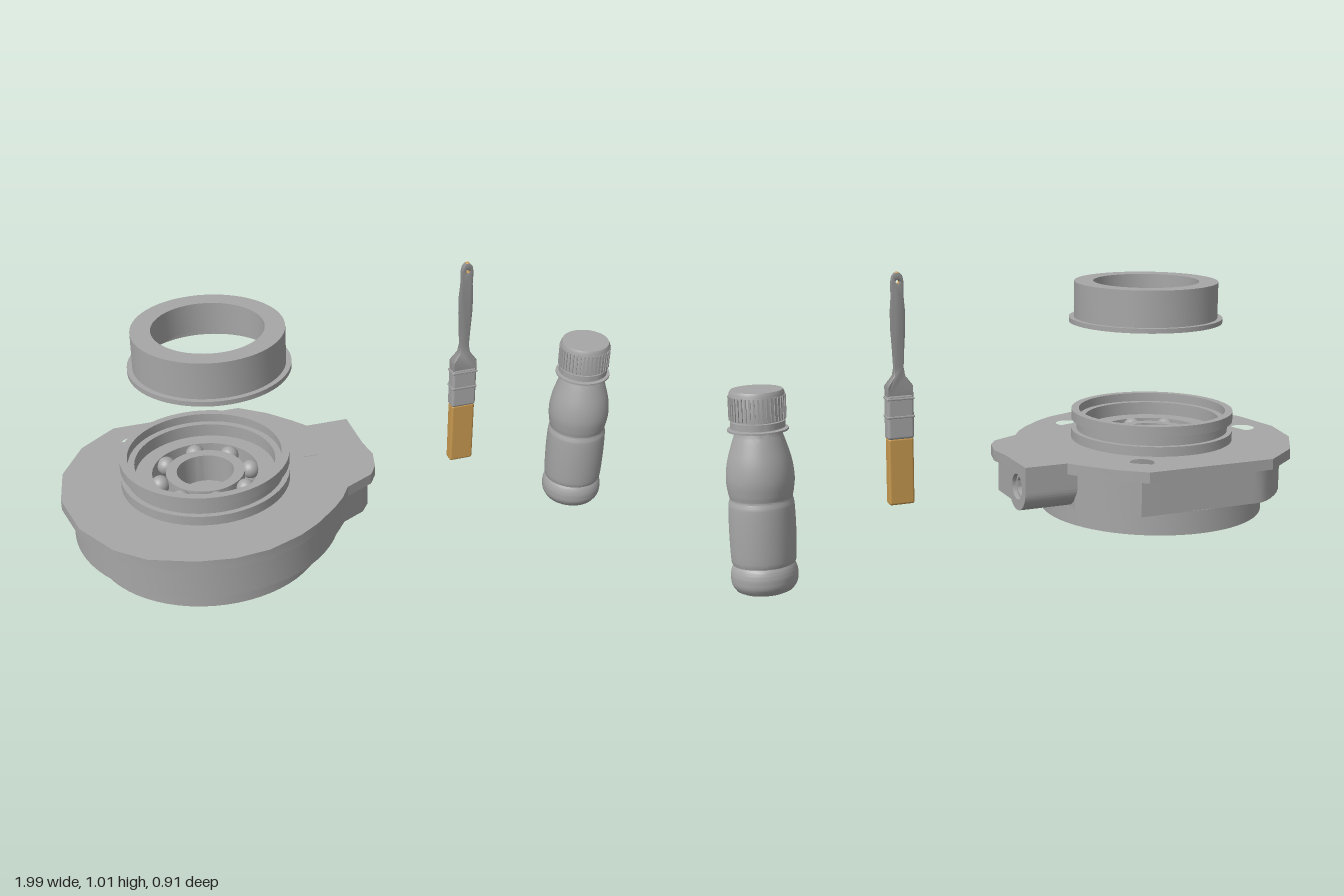
import * as THREE from 'three';
import { toCreasedNormals } from 'three/addons/utils/BufferGeometryUtils.js';
import { RoundedBoxGeometry } from 'three/addons/geometries/RoundedBoxGeometry.js';

const mat = (name, color) => {
  const m = new THREE.MeshStandardMaterial({ color });
  m.name = name;
  return m;
};
const V = (list) => list.map(([x, y]) => new THREE.Vector2(x, y));

export function createModel() {
  const grey = mat('grey', 0xa6a6a6);
  const handleGrey = mat('handle grey', 0x8e8e8e);
  const tan = mat('bristle tan', 0xc8994f);

  const add = (parent, name, geo, material = grey, x = 0, y = 0, z = 0) => {
    const mesh = new THREE.Mesh(geo, material);
    mesh.name = name;
    mesh.position.set(x, y, z);
    parent.add(mesh);
    return mesh;
  };
  const group = (parent, name, x = 0, y = 0, z = 0) => {
    const g = new THREE.Group();
    g.name = name;
    g.position.set(x, y, z);
    parent.add(g);
    return g;
  };
  // Revolved profile with sharp corners; profiles run up the outside, down the inside
  const turned = (pts, segments = 64) =>
    toCreasedNormals(new THREE.LatheGeometry(V(pts), segments), 0.5);
  const ring = (inner, outer, y0, y1) =>
    turned([[inner, y0], [outer, y0], [outer, y1], [inner, y1], [inner, y0]]);
  const hole = (x, y, r) => new THREE.Path().absarc(x, y, r, 0, Math.PI * 2, true);
  // Horizontal plate from an (x, z) outline
  const plate = (outline, holes, y0, y1) => {
    const shape = new THREE.Shape(V(outline.map(([x, z]) => [x, -z])));
    holes.forEach(([x, z, r]) => shape.holes.push(hole(x, -z, r)));
    const geo = new THREE.ExtrudeGeometry(shape, { depth: y1 - y0, bevelEnabled: false, curveSegments: 32 });
    geo.rotateX(-Math.PI / 2).translate(0, y0, 0);
    return toCreasedNormals(geo, 0.5);
  };

  const model = new THREE.Group();
  model.name = 'bearing workshop set';
  const CX = -0.515, CZ = -0.03;

  // Bearing housing
  const housing = group(model, 'housing');
  const flangeOutline = [
    [-0.75, -0.46], [-0.29, -0.46], [-0.20, -0.39], [-0.13, -0.31], [-0.09, -0.257],
    [0.06, -0.257], [0.06, -0.08], [0.07, 0], [0.05, 0.08], [0.02, 0.125],
    [-0.08, 0.175], [-0.115, 0.23], [-0.16, 0.28], [-0.24, 0.35], [-0.31, 0.395],
    [-0.425, 0.44], [-0.54, 0.45], [-0.655, 0.43], [-0.80, 0.37], [-0.89, 0.285],
    [-0.97, 0.135], [-1, -0.05], [-0.97, -0.21], [-0.88, -0.36],
  ];
  const bolts = [[0.373, 0], [-0.373, 0], [0.19, 0.305], [-0.19, 0.305], [0.19, -0.305], [-0.19, -0.305]]
    .map(([x, z]) => [CX + x, CZ + z, 0.041]);
  add(housing, 'mounting flange', plate(flangeOutline, [...bolts, [CX, CZ, 0.24]], 0.335, 0.372));

  // Round body with a flat back and a swelling toward the port
  const body = [[-0.12, -0.12], [0.03, -0.12], [0.03, 0.06], [0, 0.1], [-0.08, 0.14]];
  for (let i = 0; i <= 60; i++) {
    const a = 0.54 + (i / 60) * (Math.PI * 2 - 1.05);
    body.push([CX + 0.45 * Math.cos(a), Math.max(-0.417, CZ + 0.45 * Math.sin(a))]);
  }
  add(housing, 'main body', plate(body, [[CX, CZ, 0.235]], 0.21, 0.335));
  add(housing, 'lower body', ring(0.235, 0.39, 0.13, 0.211), grey, CX, 0, CZ);
  add(housing, 'housing floor', new THREE.CylinderGeometry(0.24, 0.24, 0.08, 64), grey, CX, 0.26, CZ);
  add(housing, 'grooved collar', turned([
    [0.235, 0.30], [0.25, 0.37], [0.283, 0.37], [0.283, 0.405], [0.265, 0.405], [0.265, 0.44],
    [0.283, 0.44], [0.283, 0.475], [0.257, 0.475], [0.257, 0.445], [0.235, 0.445], [0.235, 0.30],
  ]), grey, CX, 0, CZ);

  // Side port: flat-topped block with a round underside and stepped bore
  const portShape = new THREE.Shape();
  portShape.moveTo(0.257, 0.336);
  portShape.lineTo(0.112, 0.336);
  portShape.lineTo(0.112, 0.283);
  portShape.absarc(0.1845, 0.283, 0.0725, Math.PI, Math.PI * 2, false);
  portShape.holes.push(hole(0.1845, 0.29, 0.043));
  const portGeo = new THREE.ExtrudeGeometry(portShape, { depth: 0.21, bevelEnabled: false, curveSegments: 24 });
  portGeo.rotateY(Math.PI / 2);
  add(housing, 'side port', toCreasedNormals(portGeo, 0.5), grey, -0.15);
  const seat = ring(0.034, 0.044, -0.08, -0.015);
  seat.rotateZ(-Math.PI / 2);
  add(housing, 'port seat', seat, grey, 0.06, 0.29, -0.1845);

  // Ball bearing
  const bearing = group(housing, 'ball bearing', CX, 0, CZ - 0.005);
  add(bearing, 'outer race', ring(0.178, 0.238, 0.30, 0.40));
  add(bearing, 'inner race', ring(0.096, 0.132, 0.30, 0.40));
  for (let i = 0; i < 8; i++) {
    const a = -Math.PI / 2 + (i * Math.PI) / 4;
    add(bearing, 'ball', new THREE.SphereGeometry(0.032, 20, 14), grey,
      0.156 * Math.cos(a), 0.375, 0.156 * Math.sin(a));
  }

  // Lifted cover ring, recessed underneath
  add(model, 'cover ring', turned([
    [0.235, 0.79], [0.265, 0.79], [0.265, 0.806], [0.2475, 0.806], [0.2475, 0.93],
    [0.182, 0.93], [0.182, 0.83], [0.215, 0.83], [0.215, 0.805], [0.235, 0.805], [0.235, 0.79],
  ]), grey, -0.48, 0, -0.035);

  // Paint brush
  const brush = group(model, 'paint brush', 0.43, 0, -0.078);
  add(brush, 'bristles', new RoundedBoxGeometry(0.086, 0.225, 0.04, 2, 0.008), tan, 0, 0.357, 0);
  add(brush, 'ferrule', new RoundedBoxGeometry(0.09, 0.15, 0.046, 3, 0.01), grey, 0, 0.54, 0);
  for (const y of [0.54, 0.6]) {
    add(brush, 'ferrule band', new RoundedBoxGeometry(0.093, 0.008, 0.049, 2, 0.003), grey, 0, y, 0);
  }
  const half = [[0.041, 0.61], [0.041, 0.64], [0.03, 0.655], [0.017, 0.672], [0.013, 0.70], [0.016, 0.76],
    [0.02, 0.82], [0.021, 0.88], [0.017, 0.93], [0.018, 0.975], [0.014, 0.995], [0.006, 1.004]];
  const handleShape = new THREE.Shape(V([...half, ...half.map(([x, y]) => [-x, y]).reverse()]));
  handleShape.holes.push(hole(0, 0.978, 0.009));
  const handleGeo = new THREE.ExtrudeGeometry(handleShape,
    { depth: 0.012, bevelSize: 0.003, bevelThickness: 0.004, bevelSegments: 2, curveSegments: 10 });
  handleGeo.translate(0, 0, -0.006);
  // Thicken the shoulder where the handle enters the ferrule
  const hp = handleGeo.attributes.position;
  for (let i = 0; i < hp.count; i++) {
    const t = THREE.MathUtils.clamp((0.69 - hp.getY(i)) / 0.05, 0, 1);
    hp.setZ(i, hp.getZ(i) * (1 + 1.1 * t));
  }
  add(brush, 'handle', toCreasedNormals(handleGeo, 0.7), handleGrey);
  add(brush, 'hanging hole rim', new THREE.TorusGeometry(0.008, 0.003, 8, 20), tan, 0, 0.978, 0).scale.z = 3;
  add(brush, 'handle tip', new THREE.SphereGeometry(0.009, 16, 10), tan, 0, 1.002, 0);

  // Bottle, leaning slightly forward
  const bottle = group(model, 'bottle', 0.885, 0.003, -0.06);
  bottle.rotation.x = 0.027;
  const curve = new THREE.SplineCurve(V([
    [0.092, 0.006], [0.105, 0.028], [0.107, 0.06], [0.101, 0.082], [0.096, 0.092], [0.103, 0.103],
    [0.106, 0.2], [0.104, 0.285], [0.099, 0.305], [0.103, 0.325], [0.108, 0.37], [0.102, 0.425],
    [0.085, 0.485], [0.073, 0.52],
  ]));
  const outline = [[0, 0], [0.08, 0], ...curve.getPoints(56).map((p) => [p.x, p.y]), [0.073, 0.56]];
  add(bottle, 'bottle body', turned(outline, 48));
  add(bottle, 'neck ring', ring(0.06, 0.096, 0.525, 0.531));
  add(bottle, 'tamper band', ring(0.06, 0.086, 0.535, 0.556));
  add(bottle, 'cap', turned([[0.06, 0.56], [0.087, 0.56], [0.087, 0.645], [0.082, 0.655], [0, 0.655]], 48));
  for (let i = 0; i < 40; i++) {
    const a = (i / 40) * Math.PI * 2;
    const rib = add(bottle, 'cap rib', new THREE.BoxGeometry(0.006, 0.075, 0.007), grey,
      0.087 * Math.sin(a), 0.6, 0.087 * Math.cos(a));
    rib.rotation.y = a;
  }
  return model;
}
